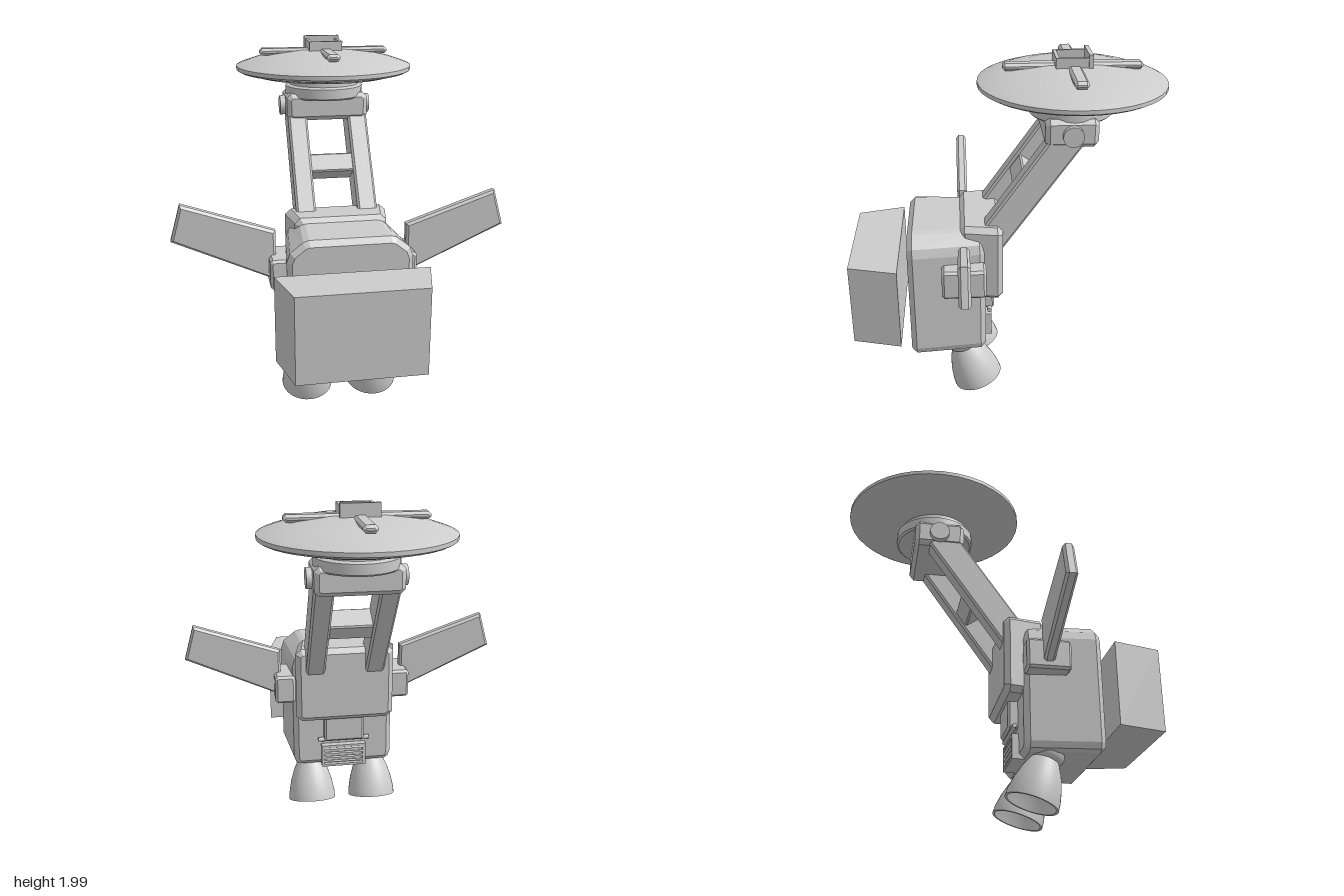
import * as THREE from 'three';
import { toCreasedNormals } from 'three/addons/utils/BufferGeometryUtils.js';

export function createModel() {
  const model = new THREE.Group();
  const grey = new THREE.MeshStandardMaterial({ color: 0xcccccc });
  grey.name = 'lightGrey';
  grey.side = THREE.DoubleSide;

  function add(name, geometry, x = 0, y = 0, z = 0, rx = 0) {
    const mesh = new THREE.Mesh(geometry, grey);
    mesh.name = name;
    mesh.position.set(x, y, z);
    mesh.rotation.x = rx;
    model.add(mesh);
    return mesh;
  }

  // Outline extruded along z, centred, with chamfered rims
  function prism(points, depth, bevel) {
    const shape = new THREE.Shape(points.map(p => new THREE.Vector2(p[0], p[1])));
    const g = new THREE.ExtrudeGeometry(shape, {
      depth: depth - 2 * bevel, bevelEnabled: bevel > 0, bevelThickness: bevel,
      bevelSize: bevel, bevelOffset: -bevel, bevelSegments: 1,
    });
    return g.translate(0, 0, -depth / 2 + bevel);
  }

  // Box with all edges chamfered
  function block(w, h, d, c) {
    const a = w / 2, b = h / 2;
    return prism([[-a + c, -b], [a - c, -b], [a, -b + c], [a, b - c],
      [a - c, b], [-a + c, b], [-a, b - c], [-a, -b + c]], d, c);
  }

  // Scale x linearly from the back to the front of a geometry
  function taperX(g, back, front) {
    g.computeBoundingBox();
    const { min, max } = g.boundingBox, p = g.attributes.position;
    for (let i = 0; i < p.count; i++) {
      const t = (p.getZ(i) - min.z) / (max.z - min.z);
      p.setX(i, p.getX(i) * (back + (front - back) * t));
    }
    g.computeVertexNormals();
    return g;
  }

  function lathe(points, segments = 32) {
    const g = new THREE.LatheGeometry(points.map(p => new THREE.Vector2(p[0], p[1])), segments);
    return toCreasedNormals(g, 0.5);
  }

  // Main body with sloped shoulders
  const body = [[-0.3, 0.31], [0.3, 0.31], [0.325, 0.325], [0.338, 0.36], [0.338, 0.95], [0.32, 1.0],
    [0.25, 1.055], [0.22, 1.065], [-0.22, 1.065], [-0.25, 1.055], [-0.32, 1.0], [-0.338, 0.95],
    [-0.338, 0.36], [-0.325, 0.325]];
  add('body', taperX(prism(body, 0.43, 0.03), 0.88, 1), 0, 0, 0.335);

  // Backpack housing that holds the arm
  add('backpack', taperX(block(0.5, 0.45, 0.24, 0.03), 1.18, 1), 0, 0.865, 0.14);

  // Front cargo box, narrower at its front face
  add('frontBox', taperX(new THREE.BoxGeometry(2, 0.475, 0.27), 0.41, 0.34), 0, 0.672, 0.737);

  // Leaning arm: two beams and a cross bar
  const lean = -Math.atan2(0.40, 0.565);
  for (const s of [-1, 1]) {
    add(s > 0 ? 'leftBeam' : 'rightBeam', block(0.112, 0.82, 0.165, 0.012), s * 0.175, 1.265, -0.107, lean);
  }
  add('crossBar', block(0.26, 0.11, 0.13, 0.008), 0, 1.285, -0.12, lean);

  // Hinge block and pins
  add('hingeBlock', block(0.47, 0.155, 0.285, 0.025), 0, 1.615, -0.347);
  const pin = new THREE.CylinderGeometry(0.056, 0.056, 0.53, 24).rotateZ(Math.PI / 2);
  add('hingePin', pin, 0, 1.61, -0.35);

  // Turntable under the dish
  add('turntable', lathe([[0, 1.66], [0.215, 1.66], [0.227, 1.67], [0.227, 1.725],
    [0.205, 1.735], [0.2, 1.78], [0, 1.78]]), 0, 0, -0.36);

  // Dish
  add('dish', lathe([[0, 1.75], [0.25, 1.763], [0.4, 1.785], [0.49, 1.808], [0.511, 1.82], [0.511, 1.842],
    [0.49, 1.852], [0.4, 1.882], [0.3, 1.907], [0.15, 1.928], [0, 1.933]], 40), 0, 0, -0.365);
  add('dishCrossBarWide', block(0.75, 0.04, 0.075, 0.014), 0, 1.92, -0.365);
  add('dishCrossBarLong', block(0.075, 0.04, 0.75, 0.014), 0, 1.92, -0.365);

  // Square frame on top of the dish
  for (const s of [-1, 1]) {
    add('frameSide', new THREE.BoxGeometry(0.018, 0.07, 0.19), s * 0.086, 1.947, -0.362);
  }
  add('frameFront', new THREE.BoxGeometry(0.19, 0.07, 0.018), 0, 1.947, -0.274);
  add('frameBack', new THREE.BoxGeometry(0.205, 0.09, 0.022), 0, 1.955, -0.448);

  // Wings and their brackets
  const wing = [[0.365, 0.75], [0.925, 1.005], [0.868, 1.207], [0.365, 1.035]];
  for (const s of [-1, 1]) {
    const side = s > 0 ? 'left' : 'right';
    add(side + 'Wing', prism(wing.map(p => [p[0] * s, p[1]]), 0.062, 0.014), 0, 0, 0.238);
    add(side + 'WingBracket', block(0.12, 0.17, 0.245, 0.014), s * 0.345, 0.815, 0.24);
  }

  // Hollow thruster nozzles, tilted backwards
  const nozzle = [[0, 0.22], [0.07, 0.2], [0.105, 0.13], [0.125, 0.06], [0.132, 0], [0.145, 0],
    [0.143, 0.04], [0.13, 0.11], [0.108, 0.18], [0.085, 0.23], [0.078, 0.243], [0.09, 0.255],
    [0.097, 0.27], [0.097, 0.29], [0.085, 0.305], [0.075, 0.35], [0, 0.35]];
  for (const s of [-1, 1]) {
    add(s > 0 ? 'leftNozzle' : 'rightNozzle', lathe(nozzle), s * 0.19, 0.055, 0.17, 0.32);
  }

  // Rear hatch, hinge rod and slatted vent
  add('rearHatch', block(0.24, 0.17, 0.08, 0.012), 0, 0.57, 0.105);
  add('ventRod', new THREE.CylinderGeometry(0.013, 0.013, 0.31, 10).rotateZ(Math.PI / 2), 0, 0.49, 0.095);
  add('ventBack', new THREE.BoxGeometry(0.25, 0.13, 0.04), 0, 0.38, 0.125);
  for (const s of [-1, 1]) {
    add('ventSide', new THREE.BoxGeometry(0.018, 0.14, 0.07), s * 0.126, 0.38, 0.117);
    add('ventRail', new THREE.BoxGeometry(0.27, 0.014, 0.07), 0, 0.38 + s * 0.063, 0.117);
  }
  for (let i = 0; i < 4; i++) {
    add('ventSlat', new THREE.BoxGeometry(0.236, 0.012, 0.03), 0, 0.337 + i * 0.028, 0.1, 0.4);
  }

  return model;
}
